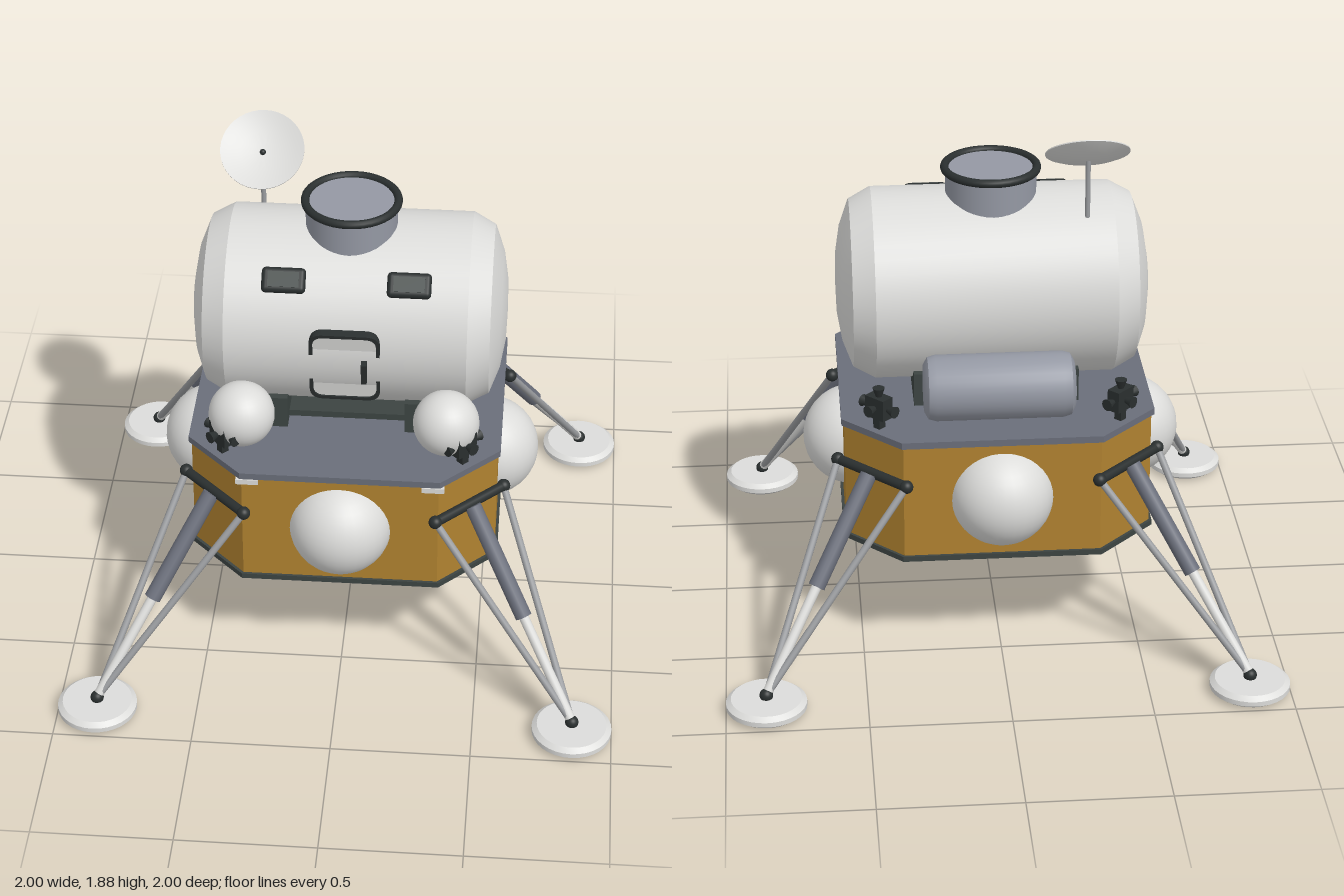
import * as THREE from 'three';
import { toCreasedNormals } from 'three/addons/utils/BufferGeometryUtils.js';
import { RoundedBoxGeometry } from 'three/addons/geometries/RoundedBoxGeometry.js';

const mat = (name, color) => {
  const m = new THREE.MeshStandardMaterial({ color });
  m.name = name;
  return m;
};

export function createModel() {
  const white = mat('white', 0xdcdcda);
  const gold = mat('gold foil', 0xb08230);
  const slate = mat('slate grey', 0x6a6e7a);
  const steel = mat('steel grey', 0x9498a3);
  const strutGrey = mat('strut grey', 0x9a9c9f);
  const charcoal = mat('charcoal', 0x3c4442);
  const black = mat('black', 0x2a2f2f);

  const model = new THREE.Group();
  model.name = 'lander';

  const add = (name, geo, material, pos = [0, 0, 0], parent = model) => {
    const mesh = new THREE.Mesh(geo, material);
    mesh.name = name;
    mesh.position.set(...pos);
    parent.add(mesh);
    return mesh;
  };
  const group = (name, pos, parent = model) => {
    const g = new THREE.Group();
    g.name = name;
    g.position.set(...pos);
    parent.add(g);
    return g;
  };
  const box = (w, h, d) => new THREE.BoxGeometry(w, h, d);
  const ball = (r) => new THREE.SphereGeometry(r, 32, 20);
  const lathe = (pts, seg = 32, crease = 0.4) =>
    toCreasedNormals(new THREE.LatheGeometry(pts.map((p) => new THREE.Vector2(...p)), seg), crease);
  // Rod between two points
  const rod = (name, a, b, r, material, parent) => {
    const from = new THREE.Vector3(...a), dir = new THREE.Vector3(...b).sub(from);
    const mesh = add(name, new THREE.CylinderGeometry(r, r, dir.length(), 14), material, [0, 0, 0], parent);
    mesh.position.copy(from).addScaledVector(dir, 0.5);
    mesh.quaternion.setFromUnitVectors(new THREE.Vector3(0, 1, 0), dir.normalize());
    return mesh;
  };
  // Octagonal slab: half width w, straight edge half length c
  const octagon = (w, c, y0, y1) => {
    const corners = [[w, -c], [w, c], [c, w], [-c, w], [-w, c], [-w, -c], [-c, -w], [c, -w]];
    const shape = new THREE.Shape(corners.map((p) => new THREE.Vector2(...p)));
    return new THREE.ExtrudeGeometry(shape, { depth: y1 - y0, bevelEnabled: false })
      .rotateX(-Math.PI / 2).translate(0, y0, 0);
  };
  const roundedRect = (path, w, h, r) => {
    const x = w / 2, y = h / 2;
    path.moveTo(-x + r, -y);
    path.lineTo(x - r, -y);
    path.quadraticCurveTo(x, -y, x, -y + r);
    path.lineTo(x, y - r);
    path.quadraticCurveTo(x, y, x - r, y);
    path.lineTo(-x + r, y);
    path.quadraticCurveTo(-x, y, -x, y - r);
    path.lineTo(-x, -y + r);
    path.quadraticCurveTo(-x, -y, -x + r, -y);
    return path;
  };

  // Descent stage
  add('descentBody', octagon(0.55, 0.35, 0.43, 0.86), gold);
  add('bottomPlate', octagon(0.56, 0.355, 0.41, 0.43), charcoal);
  add('deck', octagon(0.56, 0.355, 0.86, 0.885), slate);
  for (const [x, z] of [[0, 1], [0, -1], [1, 0], [-1, 0]])
    add('sideTank', ball(0.185), white, [x * 0.508, 0.645, z * 0.508]);
  for (const s of [-1, 1])
    add('deckMarker', box(0.08, 0.02, 0.02), white, [s * 0.33, 0.845, 0.548]);

  // Engine
  add('engineSkirt', lathe([[0, 0.355], [0.225, 0.355], [0.3, 0.41], [0, 0.41]]), slate);
  add('engineBell', lathe([
    [0.188, 0.205], [0.158, 0.26], [0.138, 0.31], [0.122, 0.36],
    [0, 0.36], [0, 0.345], [0.112, 0.345], [0.128, 0.305], [0.148, 0.255], [0.176, 0.205], [0.188, 0.205],
  ]), charcoal);

  // Cabin: a drum lying along x with chamfered, slightly domed ends
  const cabinY = 1.256, R = 0.346;
  const half = [[0.428, R], [0.507, 0.303], [0.542, 0.21], [0.559, 0.11], [0.562, 0]];
  const cabinProfile = [
    ...[...half].reverse().map(([x, r]) => [r, -x]),
    ...half.map(([x, r]) => [r, x]),
  ];
  add('cabin', lathe(cabinProfile, 40), white, [0, cabinY, 0]).rotation.z = Math.PI / 2;
  for (const s of [-1, 1])
    add('cabinSaddle', box(0.085, 0.125, 0.54), charcoal, [s * 0.253, 0.947, 0]);
  add('cabinBase', box(0.43, 0.025, 0.4), charcoal, [0, 0.897, 0]);

  // Docking port on the roof
  add('dockingNeck', new THREE.CylinderGeometry(0.163, 0.163, 0.14, 40), steel, [0, 1.62, 0]);
  add('dockingRing', new THREE.TorusGeometry(0.165, 0.015, 12, 40).rotateX(Math.PI / 2), black, [0, 1.69, 0]);

  // Windows on the upper front of the drum
  for (const s of [-1, 1]) {
    const w = group('window', [s * 0.22, cabinY + 0.245, 0.245]);
    w.rotation.x = -Math.PI / 4;
    add('windowFrame', new RoundedBoxGeometry(0.155, 0.09, 0.04, 3, 0.016), black, [0, 0, 0], w);
    add('windowPane', box(0.11, 0.055, 0.006), charcoal, [0, 0, 0.02], w);
  }

  // Front door, tangent to the drum
  const door = group('door', [0, cabinY, 0]);
  door.rotation.x = 0.162;
  const frame = roundedRect(new THREE.Shape(), 0.25, 0.31, 0.05);
  frame.holes.push(roundedRect(new THREE.Path(), 0.224, 0.284, 0.04));
  add('doorFrame', new THREE.ExtrudeGeometry(frame, { depth: 0.035, bevelEnabled: false }),
    black, [0, 0, 0.306], door);
  add('doorPanel', new THREE.ExtrudeGeometry(roundedRect(new THREE.Shape(), 0.23, 0.29, 0.04),
    { depth: 0.03, bevelEnabled: false }), white, [0, 0, 0.305], door);
  add('doorHandle', box(0.02, 0.09, 0.03), black, [0.07, -0.002, 0.355], door);

  // Dish antenna
  rod('dishMast', [-0.33, 1.5, -0.166], [-0.33, 1.775, -0.166], 0.009, strutGrey);
  const bowl = [0, 0.04, 0.08, 0.12, 0.15].map((r) => [r, 1.4 * r * r]);
  add('dish', lathe([...bowl.map(([r, y]) => [r, y - 0.004]), ...[...bowl].reverse()], 40),
    white, [-0.33, 1.768, -0.166]).rotation.x = 0.66;
  add('dishFeed', ball(0.011), black, [-0.33, 1.772, -0.163]);

  // Tanks standing on the deck
  for (const s of [-1, 1]) add('frontTank', ball(0.118), white, [s * 0.364, 1.009, 0.37]);
  add('rearTank', lathe([[0, -0.267], [0.085, -0.267], [0.11, -0.253], [0.118, -0.225],
    [0.118, 0.225], [0.11, 0.253], [0.085, 0.267], [0, 0.267]], 32, 0.7), steel,
    [0, 1.01, -0.385]).rotation.z = Math.PI / 2;

  // Four corners: thruster block and landing leg, each built facing +z and turned
  for (let i = 0; i < 4; i++) {
    const corner = group('corner', [0, 0, 0]);
    corner.rotation.y = Math.PI / 4 + i * Math.PI / 2;

    const thruster = group('thruster', [0, 0.967, 0.605], corner);
    add('thrusterBlock', box(0.085, 0.08, 0.05), black, [0, 0, 0], thruster);
    add('thrusterPost', box(0.03, 0.08, 0.03), black, [0, -0.055, 0], thruster);
    const bell = () => new THREE.CylinderGeometry(0.022, 0.01, 0.035, 12);
    add('thrusterBell', bell(), black, [0, 0.055, 0], thruster);
    add('thrusterBell', bell(), black, [0.06, 0, 0], thruster).rotation.z = -Math.PI / 2;
    add('thrusterBell', bell(), black, [-0.06, 0, 0], thruster).rotation.z = Math.PI / 2;
    add('thrusterBell', bell(), black, [0, 0, 0.04], thruster).rotation.x = Math.PI / 2;

    const leg = group('leg', [0, 0, 0], corner);
    const foot = [0, 0.065, 1.212], top = [0, 0.72, 0.665], mid = [0, 0.385, 0.945];
    add('footPad', lathe([[0, 0.005], [0.12, 0.005], [0.143, 0.022], [0.143, 0.04], [0.125, 0.055], [0, 0.055]]),
      white, [0, 0, 1.212], leg);
    add('ankle', ball(0.024), black, foot, leg);
    rod('mainStrutUpper', top, mid, 0.03, slate, leg);
    rod('mainStrutLower', mid, foot, 0.018, white, leg);
    rod('legBar', [-0.165, 0.72, 0.648], [0.165, 0.72, 0.648], 0.018, black, leg);
    for (const s of [-1, 1]) {
      const end = [s * 0.165, 0.72, 0.648];
      add('legBarEnd', ball(0.024), black, end, leg);
      rod('sideStrut', end, foot, 0.013, strutGrey, leg);
    }
  }
  return model;
}
